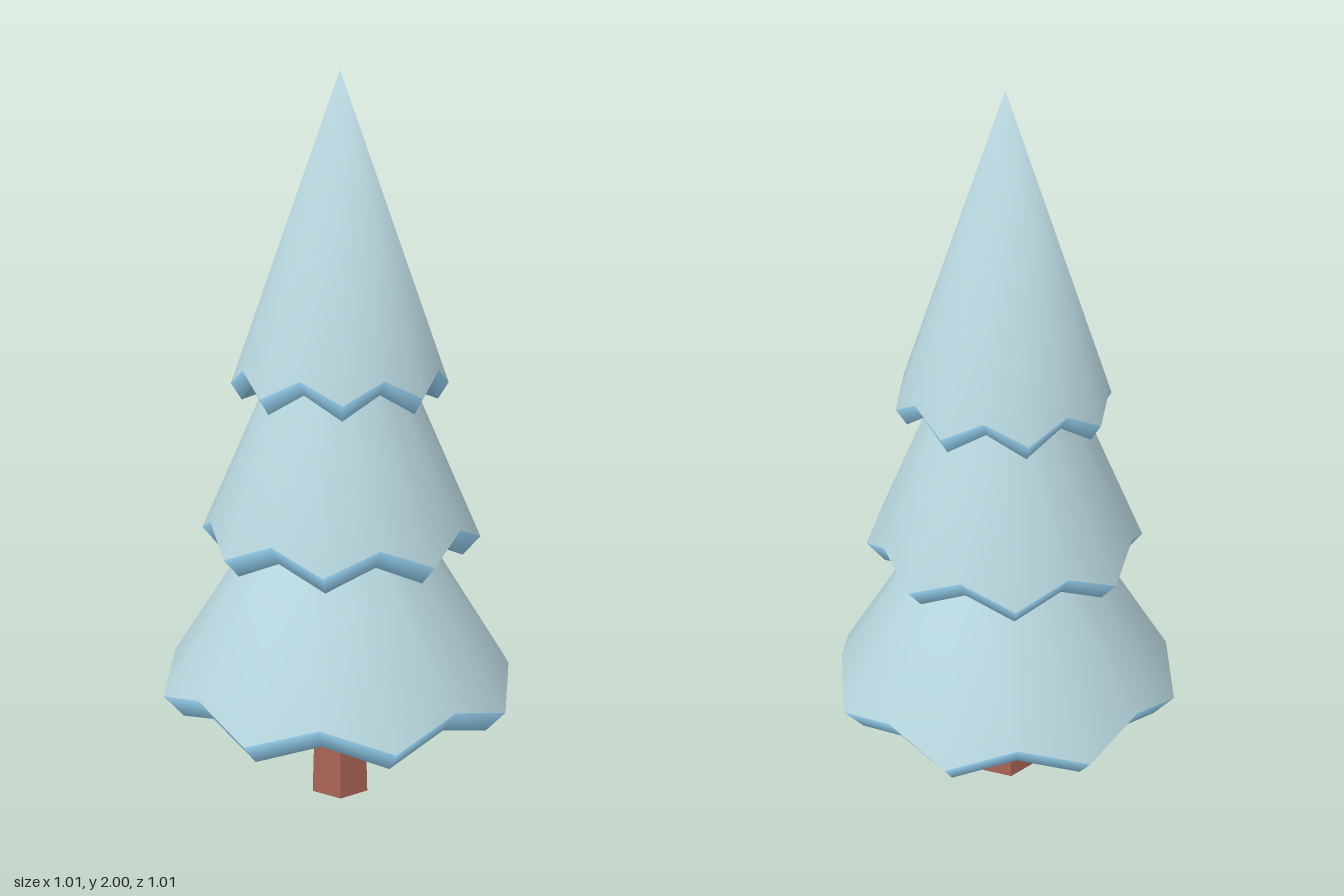
import * as THREE from 'three';

const mat = (name, color, extra = {}) => {
  const m = new THREE.MeshStandardMaterial({ color, ...extra });
  m.name = name;
  return m;
};

const COLUMNS = 16; // eight low points and eight notches per skirt

// One ring of alternating points and notches: each is [radius, height]
function ring(point, notch, turn) {
  const out = [];
  for (let i = 0; i < COLUMNS; i++) {
    const a = turn + (i / COLUMNS) * Math.PI * 2;
    const [r, y] = i % 2 ? notch : point;
    out.push(new THREE.Vector3(Math.sin(a) * r, y, Math.cos(a) * r));
  }
  return out;
}

// Joins two rings of an indexed surface, upper ring first
function strip(index, upper, lower) {
  for (let i = 0; i < COLUMNS; i++) {
    const j = (i + 1) % COLUMNS;
    index.push(upper + i, lower + i, lower + j);
    index.push(upper + i, lower + j, upper + j);
  }
}

function makeTier(tier, foliage, edge) {
  const group = new THREE.Group();
  group.name = tier.name;
  const turn = THREE.MathUtils.degToRad(tier.turn);
  const hem = ring(tier.point, tier.notch, turn);
  const lip = ring(tier.pointLip, tier.notchLip, turn);
  const top = tier.top[0] > 0 ? ring(tier.top, tier.top, turn) : [new THREE.Vector3(0, tier.top[1], 0)];

  // Sloping skirt and its rolled-under zigzag hem
  const index = [];
  const hemStart = top.length;
  if (top.length === 1) {
    for (let i = 0; i < COLUMNS; i++) index.push(0, 1 + i, 1 + ((i + 1) % COLUMNS));
  } else {
    strip(index, 0, hemStart);
  }
  const skirtCount = index.length;
  strip(index, hemStart, hemStart + COLUMNS);
  const shell = new THREE.BufferGeometry().setFromPoints([...top, ...hem, ...lip]);
  shell.setIndex(index);
  shell.addGroup(0, skirtCount, 0);
  shell.addGroup(skirtCount, index.length - skirtCount, 1);
  shell.computeVertexNormals();
  const skirt = new THREE.Mesh(shell, [foliage, edge]);
  skirt.name = 'skirtAndHem';

  // Pleated underside rising to the middle
  const centre = new THREE.Vector3(0, tier.centre, 0);
  const tris = [];
  lip.forEach((p, i) => tris.push(p, centre, lip[(i + 1) % COLUMNS]));
  const under = new THREE.BufferGeometry().setFromPoints(tris);
  under.computeVertexNormals();
  const underside = new THREE.Mesh(under, edge);
  underside.name = 'underside';

  group.add(skirt, underside);
  return group;
}

export function createModel() {
  const model = new THREE.Group();
  model.name = 'snowyTree';
  const foliage = mat('frosted foliage', 0xb9d8e0);
  const edge = mat('icy blue edge', 0x8cc4e2);
  const bark = mat('bark', 0xa86354, { flatShading: true });

  // Six-sided tapered trunk
  const trunk = new THREE.Mesh(new THREE.CylinderGeometry(0.073, 0.09, 0.5, 6), bark);
  trunk.geometry.rotateY(Math.PI / 6);
  trunk.position.y = 0.25;
  trunk.name = 'trunk';
  model.add(trunk);

  // Three stacked tiers, each turned against the one below
  const tiers = [
    { name: 'bottomTier', turn: 0, top: [0.185, 0.85], point: [0.505, 0.34], notch: [0.475, 0.4],
      pointLip: [0.45, 0.275], notchLip: [0.43, 0.335], centre: 0.38 },
    { name: 'middleTier', turn: 22.5, top: [0.15, 1.3], point: [0.387, 0.77], notch: [0.362, 0.83],
      pointLip: [0.34, 0.715], notchLip: [0.325, 0.775], centre: 0.82 },
    { name: 'topTier', turn: 30, top: [0, 2], point: [0.293, 1.19], notch: [0.277, 1.245],
      pointLip: [0.265, 1.145], notchLip: [0.25, 1.205], centre: 1.24 },
  ];
  for (const tier of tiers) model.add(makeTier(tier, foliage, edge));
  return model;
}
